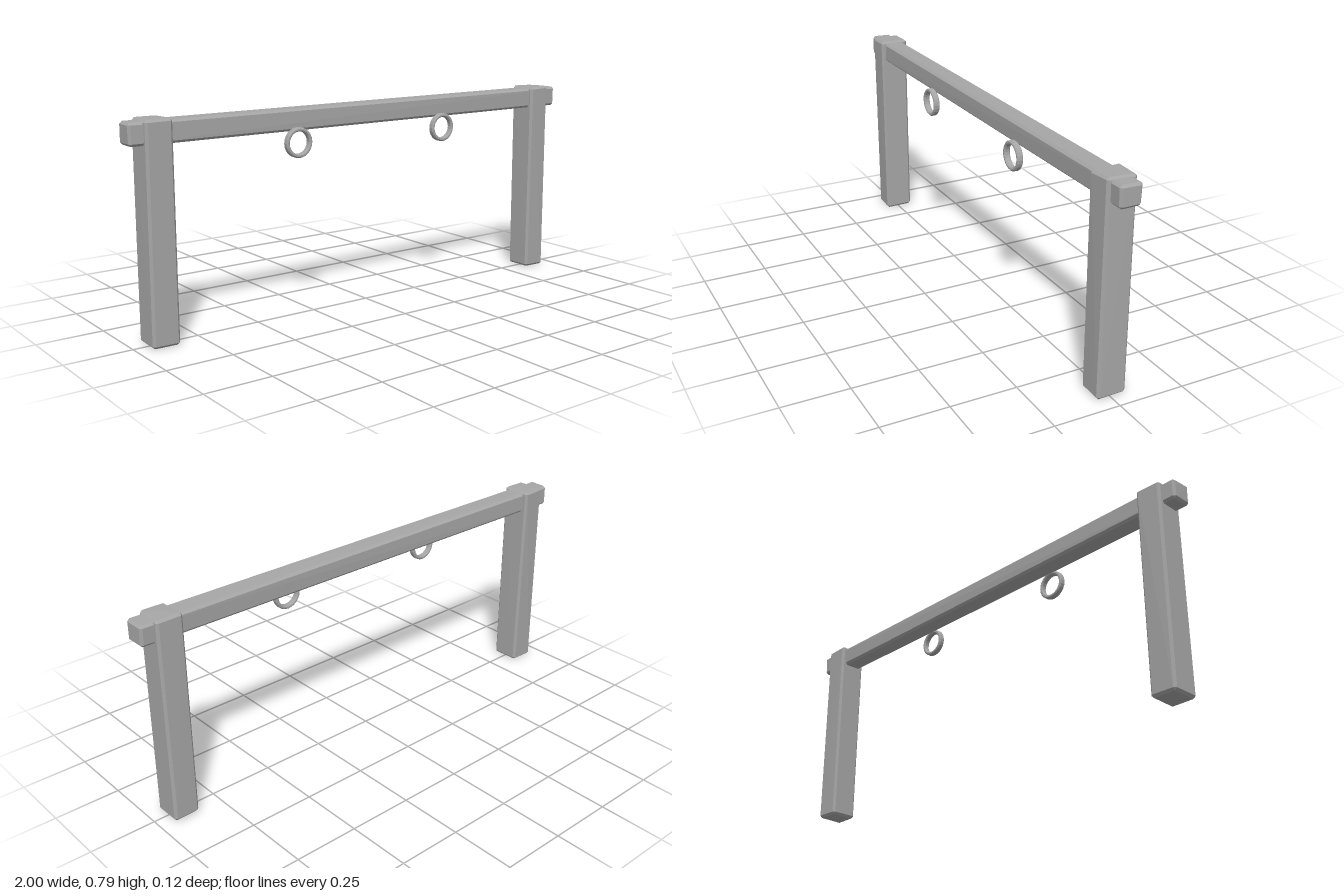
import * as THREE from 'three';
import { ConvexGeometry } from 'three/addons/geometries/ConvexGeometry.js';

// Small seeded generator for the slightly uneven, hand-hewn corners
function seeded(seed) {
  let s = seed;
  return () => ((s = (s * 16807) % 2147483647) / 2147483647) * 2 - 1;
}

// Chamfered timber between two corners, each corner nudged inward a little
function timber(min, max, bevel, wobble, seed) {
  const rnd = seeded(seed);
  const points = [];
  for (const sx of [0, 1]) for (const sy of [0, 1]) for (const sz of [0, 1]) {
    const side = [sx, sy, sz];
    const corner = side.map((s, i) => (s ? max[i] : min[i]) + (s ? -1 : 1) * wobble * Math.abs(rnd()));
    for (let full = 0; full < 3; full++) {
      const p = corner.map((c, i) => (i === full ? c : c + (side[i] ? -bevel : bevel)));
      points.push(new THREE.Vector3(...p));
    }
  }
  return new ConvexGeometry(points);
}

export function createModel() {
  const group = new THREE.Group();
  const grey = new THREE.MeshStandardMaterial({ color: 0xa6a6a6, flatShading: true });
  grey.name = 'grey';

  const add = (name, geometry) => {
    const mesh = new THREE.Mesh(geometry, grey);
    mesh.name = name;
    group.add(mesh);
    return mesh;
  };

  // Upright posts
  add('leftPost', timber([0.842, 0, -0.06], [0.947, 0.796, 0.057], 0.009, 0.004, 7001));
  add('rightPost', timber([-0.947, 0, -0.063], [-0.842, 0.796, 0.055], 0.009, 0.004, 91003));

  // Crossbeam running through both posts
  add('crossbeam', timber([-1, 0.704, -0.044], [1, 0.788, 0.042], 0.009, 0.004, 4507));

  // Hanging rings on the front, swept from a chamfered section
  const section = [
    [0.042, -0.008], [0.046, -0.012], [0.052, -0.012], [0.056, -0.008],
    [0.056, 0.008], [0.052, 0.012], [0.046, 0.012], [0.042, 0.008], [0.042, -0.008],
  ].map(([r, y]) => new THREE.Vector2(r, y));
  for (const [name, x] of [['leftRing', 0.343], ['rightRing', -0.343]]) {
    const ring = add(name, new THREE.LatheGeometry(section, 24));
    ring.rotation.x = Math.PI / 2;
    ring.position.set(x, 0.665, 0.049);
  }
  return group;
}
